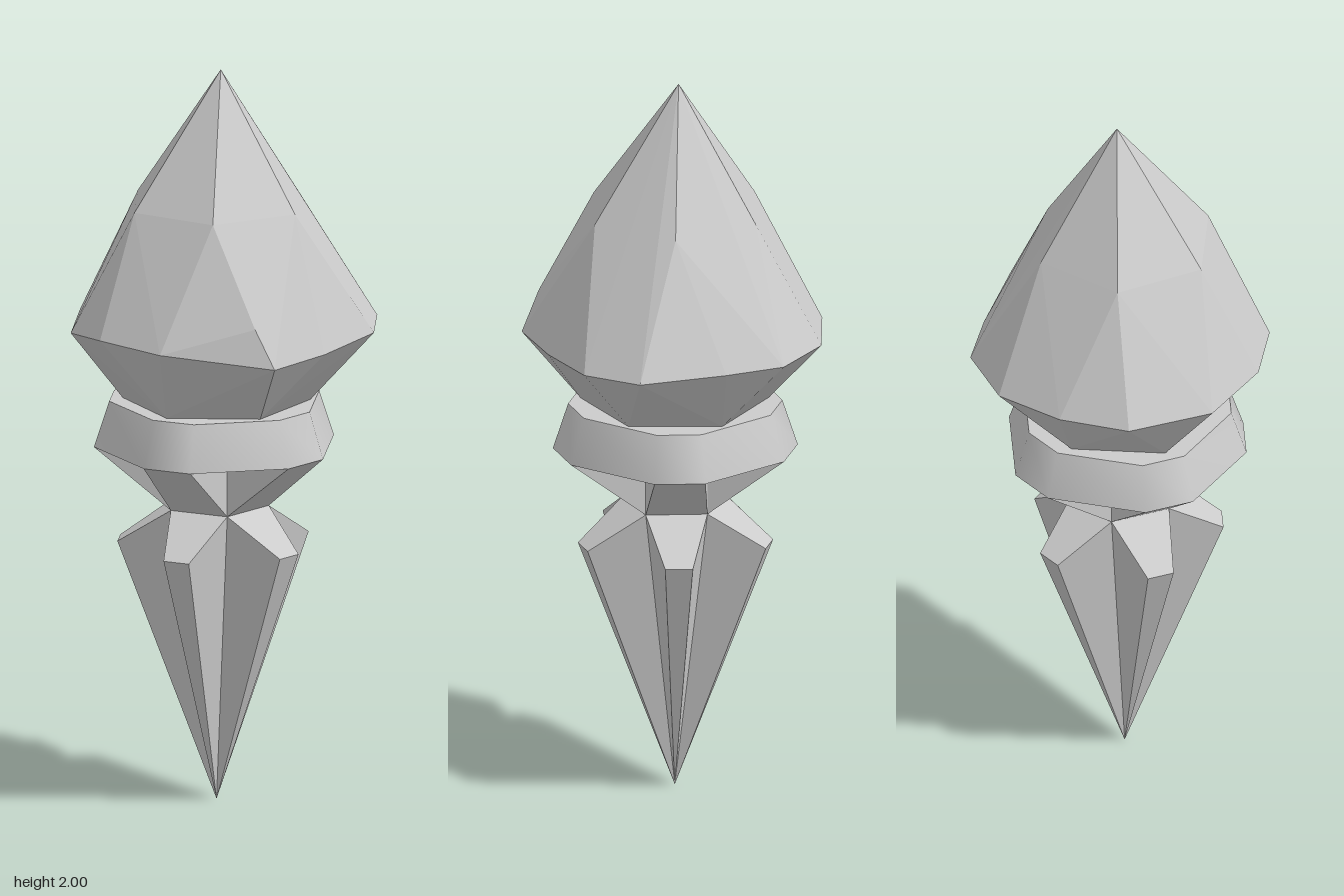
import * as THREE from 'three';
import { ConvexGeometry } from 'three/addons/geometries/ConvexGeometry.js';

const FINS = 5, STEP = 72, START = -5;
const flat = new THREE.MeshStandardMaterial({ color: 0xcccccc, flatShading: true });
const smooth = new THREE.MeshStandardMaterial({ color: 0xcccccc });

// Point at an angle in degrees, turning from +x towards +z
function polar(deg, r, y) {
  const a = THREE.MathUtils.degToRad(deg);
  return new THREE.Vector3(r * Math.cos(a) + 0.005, y, r * Math.sin(a));
}

// Each face is a fan of corners, counter-clockwise from outside
function facesMesh(name, faces, material = flat) {
  const points = [];
  for (const f of faces)
    for (let i = 1; i < f.length - 1; i++) points.push(f[0], f[i], f[i + 1]);
  const geometry = new THREE.BufferGeometry().setFromPoints(points);
  geometry.computeVertexNormals();
  const mesh = new THREE.Mesh(geometry, material);
  mesh.name = name;
  return mesh;
}

// Irregular faceted gem
function createCrystal() {
  const v = (x, y, z) => new THREE.Vector3(x, y, z);
  const points = [v(0, 2, -0.02), v(0.335, 1.38, 0.165)];
  // shoulder and foot hexagons
  for (let k = 0; k < 6; k++) {
    points.push(polar(-15 + 60 * k, 0.247, 1.64), polar(15 + 60 * k, 0.25, 1.1));
  }
  // uneven girdle
  const girdle = [
    [-0.195, 1.3, -0.365], [-0.03, 1.3, -0.385], [0.21, 1.3, -0.393], [0.33, 1.295, -0.27],
    [0.37, 1.28, -0.055], [0.388, 1.275, 0.143], [0.165, 1.31, 0.353], [-0.03, 1.32, 0.39],
    [-0.215, 1.295, 0.325], [-0.373, 1.3, 0.145], [-0.39, 1.305, -0.045], [-0.335, 1.3, -0.235],
  ];
  for (const p of girdle) points.push(v(...p));
  const mesh = new THREE.Mesh(new ConvexGeometry(points), flat);
  mesh.name = 'crystal';
  return mesh;
}

// Tapered collar whose corners meet the bracket ends
function createCollar() {
  const group = new THREE.Group();
  group.name = 'collar';
  const lower = [], upper = [], index = [];
  for (let k = 0; k < FINS; k++) {
    for (const half of [-12, 12]) {
      const deg = START + STEP * k + half;
      lower.push(polar(deg, 0.328, 0.975));
      upper.push(polar(deg, 0.287, 1.1));
    }
  }
  const n = lower.length;
  for (let i = 0; i < n; i++) {
    const j = (i + 1) % n;
    index.push(i, i + n, j + n, i, j + n, j);
  }
  const geometry = new THREE.BufferGeometry().setFromPoints([...lower, ...upper]);
  geometry.setIndex(index);
  geometry.computeVertexNormals();
  const band = new THREE.Mesh(geometry, smooth);
  band.name = 'collarBand';
  group.add(band, facesMesh('collarTop', [[...upper].reverse()]));
  return group;
}

// Flared brackets with notches between them, from the neck to the collar
function createBrackets() {
  const faces = [];
  for (let k = 0; k < FINS; k++) {
    const mid = START + STEP * k;
    const neckA = polar(mid - 36, 0.14, 0.81), neckB = polar(mid + 36, 0.14, 0.81);
    const notchA = polar(mid - 36, 0.14, 0.935), notchB = polar(mid + 36, 0.14, 0.935);
    const endA = polar(mid - 12, 0.328, 0.975), endB = polar(mid + 12, 0.328, 0.975);
    const nextEnd = polar(mid + STEP - 12, 0.328, 0.975);
    faces.push([neckA, endA, endB, neckB]);
    faces.push([neckA, notchA, endA], [neckB, endB, notchB]);
    faces.push([notchB, endB, nextEnd]);
  }
  return facesMesh('brackets', faces);
}

// Five fins tapering to one point
function createSpike() {
  const tip = new THREE.Vector3(0.005, 0, 0);
  const faces = [];
  for (let k = 0; k < FINS; k++) {
    const mid = START + STEP * k;
    const neckA = polar(mid - 36, 0.14, 0.81), neckB = polar(mid + 36, 0.14, 0.81);
    const endA = polar(mid - 8, 0.264, 0.71), endB = polar(mid + 8, 0.264, 0.71);
    faces.push([endA, neckA, neckB, endB]);
    faces.push([tip, endA, endB], [tip, neckA, endA], [tip, endB, neckB]);
  }
  return facesMesh('finnedSpike', faces);
}

export function createModel() {
  const model = new THREE.Group();
  model.name = 'crystalSpike';
  model.add(createCrystal(), createCollar(), createBrackets(), createSpike());
  return model;
}
